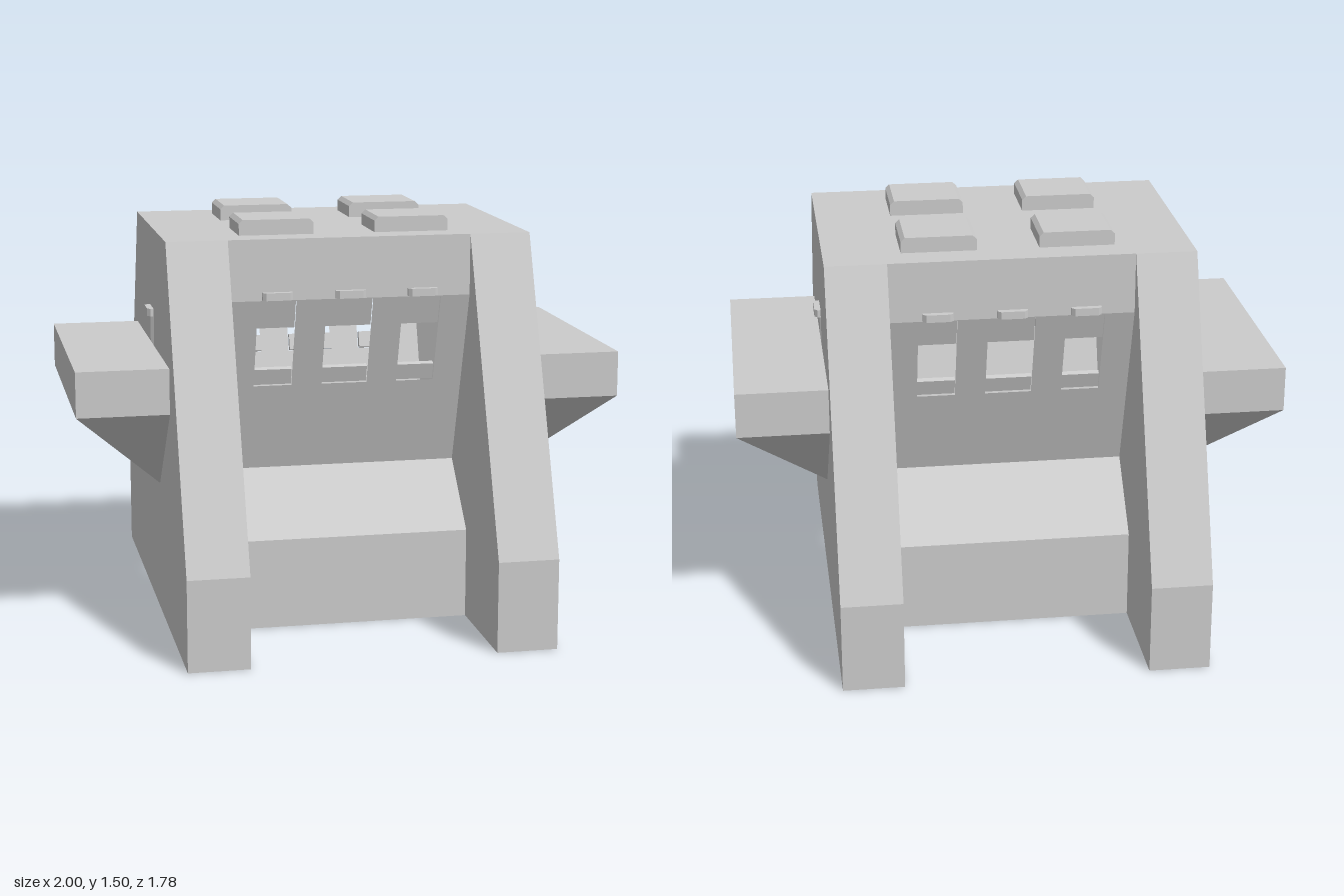
import * as THREE from 'three';
import { ConvexGeometry } from 'three/addons/geometries/ConvexGeometry.js';

const material = new THREE.MeshStandardMaterial({ color: 0xcccccc, flatShading: true, side: THREE.DoubleSide });
const U = 1 / 9; // layout module

function add(parent, name, geometry, x = 0, y = 0, z = 0) {
  const mesh = new THREE.Mesh(geometry, material);
  mesh.name = name;
  mesh.position.set(x, y, z);
  parent.add(mesh);
  return mesh;
}

const polygon = (points) => new THREE.Shape(points.map(([a, b]) => new THREE.Vector2(a, b)));

function rectHole(shape, x0, x1, y0, y1) {
  shape.holes.push(polygon([[x0, y0], [x0, y1], [x1, y1], [x1, y0]]));
}

// Sheet following [z, y] points, spanning x0 to x1
function sheet(points, x0, x1) {
  const v = [];
  for (let i = 0; i < points.length - 1; i++) {
    const [z0, y0] = points[i], [z1, y1] = points[i + 1];
    v.push(x0, y0, z0, x1, y0, z0, x1, y1, z1, x0, y0, z0, x1, y1, z1, x0, y1, z1);
  }
  const g = new THREE.BufferGeometry();
  g.setAttribute('position', new THREE.Float32BufferAttribute(v, 3));
  g.computeVertexNormals();
  return g;
}

// Small ledge with bevelled ends, projecting toward +z
function lipGeometry() {
  const shape = polygon([[-0.055, 0], [0.055, 0], [0.055, 0.012], [0.043, 0.023], [-0.043, 0.023], [-0.055, 0.012]]);
  const g = new THREE.ExtrudeGeometry(shape, { depth: 0.028, bevelEnabled: false });
  return g.rotateX(Math.PI / 2).translate(0, 0.028, 0);
}

// One end: leg fronts, recessed middle wall with three windows
function createEnd() {
  const end = new THREE.Group();
  const legInner = polygon([[8 * U, 0], [8 * U, 3 * U], [4 * U, 13 * U], [4 * U, 11 * U], [2 * U, 5 * U], [4 * U, 3 * U], [4 * U, 0]]);
  for (const s of [-1, 1]) {
    const xs = [4 * U * s, 6 * U * s].sort((a, b) => a - b);
    add(end, 'legFront', sheet([[8 * U, 0], [8 * U, 3 * U], [4 * U, 13 * U]], ...xs));
    add(end, 'legInnerWall', new THREE.ShapeGeometry(legInner), 4 * U * s).rotation.y = -Math.PI / 2;
  }
  add(end, 'baseFront', sheet([[4 * U, 0], [4 * U, 3 * U], [2 * U, 5 * U]], -4 * U, 4 * U));
  add(end, 'header', sheet([[4 * U, 11 * U], [4 * U, 13 * U]], -4 * U, 4 * U));

  // Leaning wall, drawn flat and then tilted
  const length = Math.hypot(6 * U, 2 * U);
  const along = (y) => ((y - 5 * U) / (6 * U)) * length;
  const leaning = new THREE.Group();
  leaning.name = 'leaningWall';
  leaning.position.set(0, 5 * U, 2 * U);
  leaning.rotation.x = Math.atan2(2, 6);
  end.add(leaning);
  const wall = polygon([[-4 * U, 0], [4 * U, 0], [4 * U, length], [-4 * U, length]]);
  for (const [x, half] of [[-0.267, 0.07], [0, 0.085], [0.267, 0.07]]) {
    rectHole(wall, x - half, x + half, along(0.889), along(1.218));
    for (const [y0, y1] of [[0.889, 0.948], [1.112, 1.218]]) {
      const h = along(y1) - along(y0);
      add(leaning, 'windowInset', new THREE.BoxGeometry(half * 2, h, 0.02), x, along(y0) + h / 2, -0.02);
    }
    add(end, 'windowLip', lipGeometry(), x, 11 * U + 0.003, 4 * U);
  }
  add(leaning, 'windowWall', new THREE.ShapeGeometry(wall));
  return end;
}

// One side: outer wall with a slot, bracketed shelf and lip, facing +x
function createSide() {
  const side = new THREE.Group();
  const outline = polygon([[-8 * U, 0], [8 * U, 0], [8 * U, 3 * U], [4 * U, 13 * U], [-4 * U, 13 * U], [-8 * U, 3 * U]]);
  rectHole(outline, -0.055, 0.055, 1, 1.112);
  add(side, 'sideWall', new THREE.ShapeGeometry(outline), 6 * U).rotation.y = Math.PI / 2;
  add(side, 'shelf', new THREE.BoxGeometry(3 * U, 1.5 * U, 1), 7.5 * U, 8.25 * U, 0);
  const bracket = [];
  for (const s of [-1, 1]) {
    bracket.push(
      new THREE.Vector3(6 * U, 7.5 * U, 0.5 * s),
      new THREE.Vector3(1, 7.5 * U, 0.5 * s),
      new THREE.Vector3(6 * U, 4.5 * U, 1.5 * U * s));
  }
  add(side, 'shelfBracket', new ConvexGeometry(bracket));
  add(side, 'slotLip', lipGeometry(), 6 * U, 1.113, 0).rotation.y = Math.PI / 2;
  return side;
}

export function createModel() {
  const model = new THREE.Group();
  model.name = 'building';
  for (const [i, label] of [[0, 'front'], [1, 'back']]) {
    const end = createEnd();
    end.name = label + 'End';
    end.rotation.y = i * Math.PI;
    const side = createSide();
    side.name = (i ? 'right' : 'left') + 'Side';
    side.rotation.y = i * Math.PI;
    model.add(end, side);
  }
  add(model, 'roof', sheet([[4 * U, 13 * U], [-4 * U, 13 * U]], -6 * U, 6 * U));

  // Roof blocks with bevelled left and right edges
  const block = polygon([[-0.137, 0], [0.137, 0], [0.137, 0.042], [0.122, 0.056], [-0.122, 0.056], [-0.137, 0.042]]);
  const blockGeometry = new THREE.ExtrudeGeometry(block, { depth: 2 * U, bevelEnabled: false }).translate(0, 0, -U);
  for (const x of [-0.25, 0.25])
    for (const z of [-2 * U, 2 * U]) add(model, 'roofBlock', blockGeometry, x, 13 * U, z);
  return model;
}
